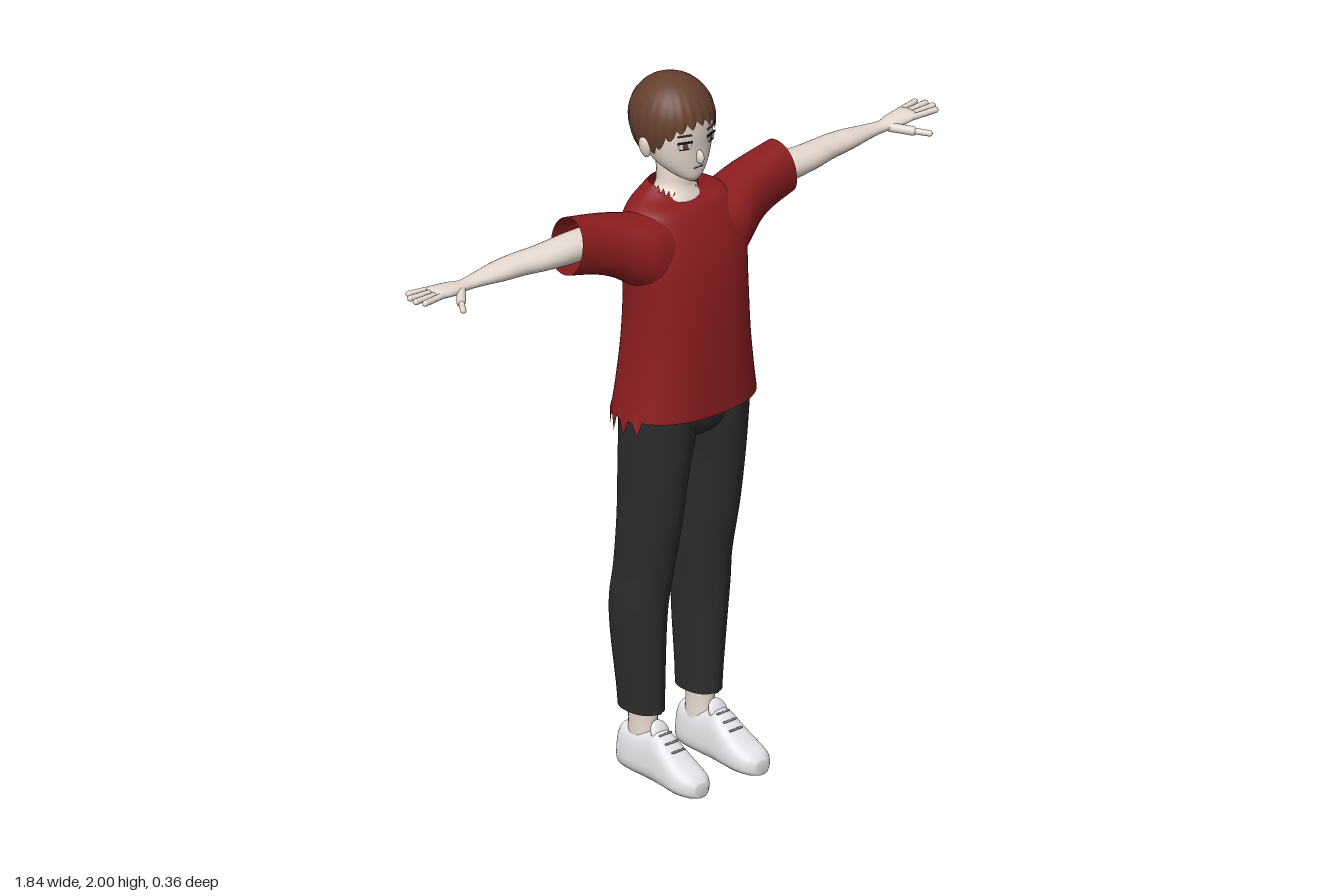
import * as THREE from 'three';

const mat = (name, color, side = THREE.FrontSide) => {
  const m = new THREE.MeshStandardMaterial({ color, side });
  m.name = name;
  return m;
};

// Axis order for lofts: [along, first, second], chosen so faces point outward
const AXES = { x: ['x', 'z', 'y'], y: ['y', 'x', 'z'], z: ['z', 'y', 'x'] };

// Smoothly add in-between rows to a list of cross-sections
function resample(rows, k) {
  const out = [];
  for (let i = 0; i < rows.length - 1; i++) {
    const [a, b, c, d] = [-1, 0, 1, 2].map(o => rows[Math.min(rows.length - 1, Math.max(0, i + o))]);
    for (let s = 0; s < k; s++) {
      const t = s / k;
      out.push(b.map((v, q) => {
        const cubic = 3 * (v - c[q]) + d[q] - a[q];
        const square = 2 * a[q] - 5 * v + 4 * c[q] - d[q];
        return v + 0.5 * t * (c[q] - a[q] + t * (square + t * cubic));
      }));
    }
  }
  out.push(rows[rows.length - 1]);
  return out;
}

// Join rings of points into a smooth closed-around surface
function skin(rings, cap = false) {
  const n = rings[0].length, pos = [], idx = [];
  rings.forEach(r => r.forEach(v => pos.push(v.x, v.y, v.z)));
  for (let i = 0; i < rings.length - 1; i++) for (let j = 0; j < n; j++) {
    const a = i * n + j, b = i * n + (j + 1) % n;
    idx.push(a, a + n, b, b, a + n, b + n);
  }
  if (cap) [0, rings.length - 1].forEach((i, end) => {
    const c = rings[i].reduce((s, v) => s.add(v), new THREE.Vector3()).divideScalar(n);
    const k = pos.length / 3;
    pos.push(c.x, c.y, c.z);
    for (let j = 0; j < n; j++) {
      const a = i * n + j, b = i * n + (j + 1) % n;
      idx.push(k, end ? b : a, end ? a : b);
    }
  });
  const g = new THREE.BufferGeometry();
  g.setAttribute('position', new THREE.Float32BufferAttribute(pos, 3));
  g.setIndex(idx);
  g.computeVertexNormals();
  return g;
}

// Rows are [along, firstMin, firstMax, secondMin, secondMax] of rounded sections
function loft(axis, rows, { n = 28, p = 2, cap = true, edit } = {}) {
  const [A, F, S] = AXES[axis], all = resample(rows, 4);
  const pw = v => Math.sign(v) * Math.pow(Math.abs(v), 2 / p);
  return skin(all.map((r, i) => Array.from({ length: n }, (_, j) => {
    const t = j / n * Math.PI * 2, v = new THREE.Vector3();
    v[A] = r[0];
    v[F] = (r[1] + r[2]) / 2 + pw(Math.cos(t)) * (r[2] - r[1]) / 2;
    v[S] = (r[3] + r[4]) / 2 + pw(Math.sin(t)) * (r[4] - r[3]) / 2;
    if (edit) edit(v, i, j, t, all.length - 1);
    return v;
  })), cap);
}

// Rounded rod between two points
function rod(a, b, r) {
  const p = new THREE.Vector3(...a), q = new THREE.Vector3(...b), d = q.clone().sub(p);
  const g = new THREE.CapsuleGeometry(r, d.length(), 4, 10);
  g.applyQuaternion(new THREE.Quaternion().setFromUnitVectors(new THREE.Vector3(0, 1, 0), d.normalize()));
  return g.translate(...p.add(q).multiplyScalar(0.5).toArray());
}

function mirror(geo) {
  const g = geo.clone().scale(-1, 1, 1), ix = g.index;
  for (let i = 0; i < ix.count; i += 3) {
    const b = ix.getX(i + 1);
    ix.setX(i + 1, ix.getX(i + 2));
    ix.setX(i + 2, b);
  }
  return g;
}

export function createModel() {
  const root = new THREE.Group();
  const skinTone = mat('skin', 0xeee0d5), red = mat('shirt red', 0x8c1d20, THREE.DoubleSide);
  const black = mat('trouser black', 0x2d2d2d, THREE.DoubleSide), white = mat('shoe white', 0xe6e6ea);
  const brown = mat('hair brown', 0x65402f, THREE.DoubleSide), dark = mat('line dark', 0x2a1d1a);
  const eyeWhite = mat('eye white', 0xf6f4f2), grey = mat('lace grey', 0x8c8c92);

  const add = (name, geo, m) => {
    const mesh = new THREE.Mesh(geo, m);
    mesh.name = name;
    root.add(mesh);
  };
  const pair = (name, geo, m) => {
    add(name + 'Left', geo, m);
    add(name + 'Right', mirror(geo), m);
  };

  // Head, neck, nose and ears
  add('head', loft('y', [
    [1.722, -0.014, 0.014, 0, 0.034], [1.74, -0.042, 0.042, -0.05, 0.044], [1.775, -0.073, 0.073, -0.1, 0.047],
    [1.82, -0.091, 0.091, -0.125, 0.048], [1.87, -0.097, 0.097, -0.145, 0.05], [1.92, -0.09, 0.09, -0.145, 0.042],
    [1.97, -0.05, 0.05, -0.1, -0.01]], { n: 40, p: 2.2 }), skinTone);
  add('neck', loft('y', [
    [1.62, -0.11, 0.11, -0.115, 0.025], [1.655, -0.085, 0.085, -0.11, 0.018], [1.69, -0.052, 0.052, -0.1, 0.0],
    [1.73, -0.046, 0.046, -0.1, -0.005], [1.8, -0.046, 0.046, -0.11, -0.01]]), skinTone);
  add('nose', new THREE.SphereGeometry(1, 12, 8).scale(0.009, 0.02, 0.017).rotateX(-0.25).translate(0, 1.797, 0.05), skinTone);
  pair('ear', new THREE.SphereGeometry(1, 14, 10).scale(0.011, 0.032, 0.02).rotateZ(-0.2).translate(0.1, 1.82, -0.055), skinTone);

  // Eyes, brows and mouth as thin plates
  const onFace = (g, x, y, z) => g.rotateY(0.38).translate(x, y, z);
  pair('eye', onFace(new THREE.CircleGeometry(1, 20).scale(0.02, 0.009, 1), 0.046, 1.838, 0.044), eyeWhite);
  pair('iris', onFace(new THREE.CircleGeometry(0.0085, 16), 0.045, 1.838, 0.0455), brown);
  pair('upperLash', onFace(new THREE.BoxGeometry(0.042, 0.005, 0.004), 0.046, 1.848, 0.0445), dark);
  pair('lowerLash', onFace(new THREE.BoxGeometry(0.026, 0.002, 0.004), 0.047, 1.829, 0.0435), dark);
  pair('brow', onFace(new THREE.BoxGeometry(0.04, 0.004, 0.004), 0.046, 1.868, 0.044), brown);
  add('mouth', new THREE.BoxGeometry(0.03, 0.0025, 0.004).translate(0, 1.766, 0.0455), dark);

  // Hair cap with a jagged lower edge that drops from fringe to nape
  const edgeAt = d => {
    const keys = [[0, 1.9], [0.5, 1.885], [0.9, 1.85], [1.25, 1.805], [1.6, 1.835], [2, 1.79], [3.2, 1.765]];
    const k = Math.max(1, keys.findIndex(q => q[0] >= d)), [a, b] = [keys[k - 1], keys[k]];
    return a[1] + (b[1] - a[1]) * (d - a[0]) / (b[0] - a[0]);
  };
  const N = 96, M = 18, hairRings = [];
  for (let i = M; i >= 0; i--) hairRings.push(Array.from({ length: N }, (_, j) => {
    const t = j / N * Math.PI * 2, d = Math.acos(Math.sin(t));
    const tooth = [-1, 0, 1, 0][j % 4] * (0.009 + 0.006 * Math.sin(j * 1.7));
    const h = edgeAt(d) + tooth - 1.885;
    const phi = Math.acos(h / (h > 0 ? 0.115 : 0.14)) * Math.max(i, 0.01) / M;
    const y = Math.cos(phi), r = Math.sin(phi) * (1 + 0.022 * Math.cos(j * Math.PI / 2) * (i / M) ** 2);
    return new THREE.Vector3(0.111 * r * Math.cos(t), 1.885 + y * (y > 0 ? 0.115 : 0.14), -0.06 + 0.121 * r * Math.sin(t));
  }));
  add('hair', skin(hairRings), brown);

  // Shirt body with torn hem at the back and sides and a torn front neckline
  add('shirtBody', loft('y', [
    [1.078, -0.21, 0.21, -0.158, 0.135], [1.15, -0.198, 0.198, -0.152, 0.134], [1.27, -0.184, 0.184, -0.143, 0.131],
    [1.4, -0.18, 0.18, -0.135, 0.124], [1.5, -0.187, 0.187, -0.131, 0.107], [1.57, -0.187, 0.187, -0.13, 0.083],
    [1.62, -0.175, 0.175, -0.13, 0.058], [1.655, -0.145, 0.145, -0.128, 0.035], [1.68, -0.1, 0.1, -0.122, 0.015],
    [1.7, -0.068, 0.068, -0.112, 0.0]], {
    n: 72, p: 2.3, cap: false, edit: (v, i, j, t, last) => {
      const s = Math.sin(t);
      if (i === 0 && s < 0.3) {
        v.y -= j % 3 === 0 ? 0.038 + 0.012 * Math.sin(j * 2.3) : 0.004;
        v.x *= 1.02;
      }
      if (s > 0) v.y -= 0.03 * s * THREE.MathUtils.smoothstep(v.y, 1.64, 1.7);
      if (i === last && s > 0.2) v.y += j % 3 === 0 ? 0.012 : -0.006;
    }
  }), red);

  // Wide open sleeves
  pair('sleeve', loft('x', [
    [0.1, -0.12, 0.075, 1.41, 1.645], [0.15, -0.125, 0.075, 1.435, 1.65], [0.19, -0.126, 0.06, 1.465, 1.657],
    [0.24, -0.124, 0.037, 1.497, 1.668], [0.3, -0.12, 0.02, 1.52, 1.68], [0.378, -0.114, 0.01, 1.54, 1.695]], {
    n: 36, p: 2.2, cap: false, edit: (v, i, j, t, last) => { v.x -= 0.014 * Math.sin(t) * i / last; }
  }), red);

  // Arms run into flat palms
  pair('arm', loft('x', [
    [0.3, -0.09, 0.0, 1.575, 1.655], [0.38, -0.093, 0.004, 1.574, 1.655], [0.47, -0.092, 0.0, 1.582, 1.65],
    [0.54, -0.096, -0.014, 1.586, 1.647], [0.61, -0.096, -0.02, 1.59, 1.643], [0.69, -0.086, -0.034, 1.597, 1.633],
    [0.74, -0.08, -0.038, 1.6, 1.629], [0.78, -0.092, -0.03, 1.6, 1.633], [0.83, -0.097, -0.028, 1.607, 1.635],
    [0.845, -0.09, -0.034, 1.614, 1.63]], { n: 24 }), skinTone);
  [[-0.089, 0.893, -0.1], [-0.071, 0.909, -0.076], [-0.053, 0.912, -0.05], [-0.037, 0.9, -0.026]].forEach(([z, x, tz], i) =>
    pair('finger' + (i + 1), rod([0.825, 1.621, z], [x, 1.624, tz], 0.0085), skinTone));
  pair('thumbBase', rod([0.757, 1.612, -0.045], [0.797, 1.604, 0.0], 0.0125), skinTone);
  pair('thumb', rod([0.795, 1.605, -0.002], [0.823, 1.602, 0.038], 0.0085), skinTone);

  // Trousers: hips and two creased legs
  add('hips', loft('y', [
    [0.985, -0.03, 0.03, -0.06, 0.04], [1.005, -0.09, 0.09, -0.105, 0.075], [1.05, -0.17, 0.17, -0.12, 0.096],
    [1.12, -0.182, 0.182, -0.122, 0.104]], { n: 40, p: 2.5 }), black);
  pair('trouserLeg', loft('y', [
    [0.185, 0.05, 0.152, -0.137, 0.003], [0.25, 0.049, 0.157, -0.14, 0.004], [0.4, 0.046, 0.17, -0.154, 0.011],
    [0.5, 0.043, 0.175, -0.155, 0.019], [0.6, 0.036, 0.17, -0.144, 0.033], [0.75, 0.03, 0.173, -0.131, 0.064],
    [0.9, 0.02, 0.179, -0.125, 0.084], [1.0, 0.003, 0.183, -0.122, 0.094], [1.1, 0, 0.185, -0.12, 0.102]], {
    n: 32, p: 2.3, cap: false, edit: (v, i, j) => { if (j === 8) v.z += 0.006; }
  }), black);

  // Ankles and shoes
  pair('ankle', loft('y', [
    [0.08, 0.065, 0.137, -0.11, -0.01], [0.15, 0.067, 0.135, -0.105, -0.016], [0.24, 0.064, 0.138, -0.108, -0.014]]), skinTone);
  pair('shoe', loft('z', [
    [-0.13, 0.004, 0.1, 0.08, 0.128], [-0.12, 0.002, 0.127, 0.064, 0.144], [-0.08, 0, 0.128, 0.056, 0.152],
    [-0.02, 0, 0.132, 0.054, 0.154], [0.02, 0, 0.142, 0.052, 0.156], [0.07, 0, 0.11, 0.05, 0.159],
    [0.12, 0, 0.08, 0.052, 0.16], [0.16, 0.002, 0.064, 0.063, 0.15], [0.181, 0.006, 0.045, 0.085, 0.128]], {
    n: 32, p: 2.8, edit: v => { v.x = 0.104 + (v.x - 0.104) * (1 - 2.2 * Math.max(0, v.y - 0.03)); }
  }), white);
  pair('shoeTongue', new THREE.SphereGeometry(1, 14, 10).scale(0.03, 0.034, 0.012).rotateX(-0.5).translate(0.102, 0.135, 0.008), white);
  for (let i = 0; i < 3; i++) {
    const y = 0.137 - i * 0.016, z = 0.03 + i * 0.025;
    pair('lace' + (i + 1), rod([0.082, y, z], [0.122, y, z], 0.003), grey);
  }

  return root;
}
